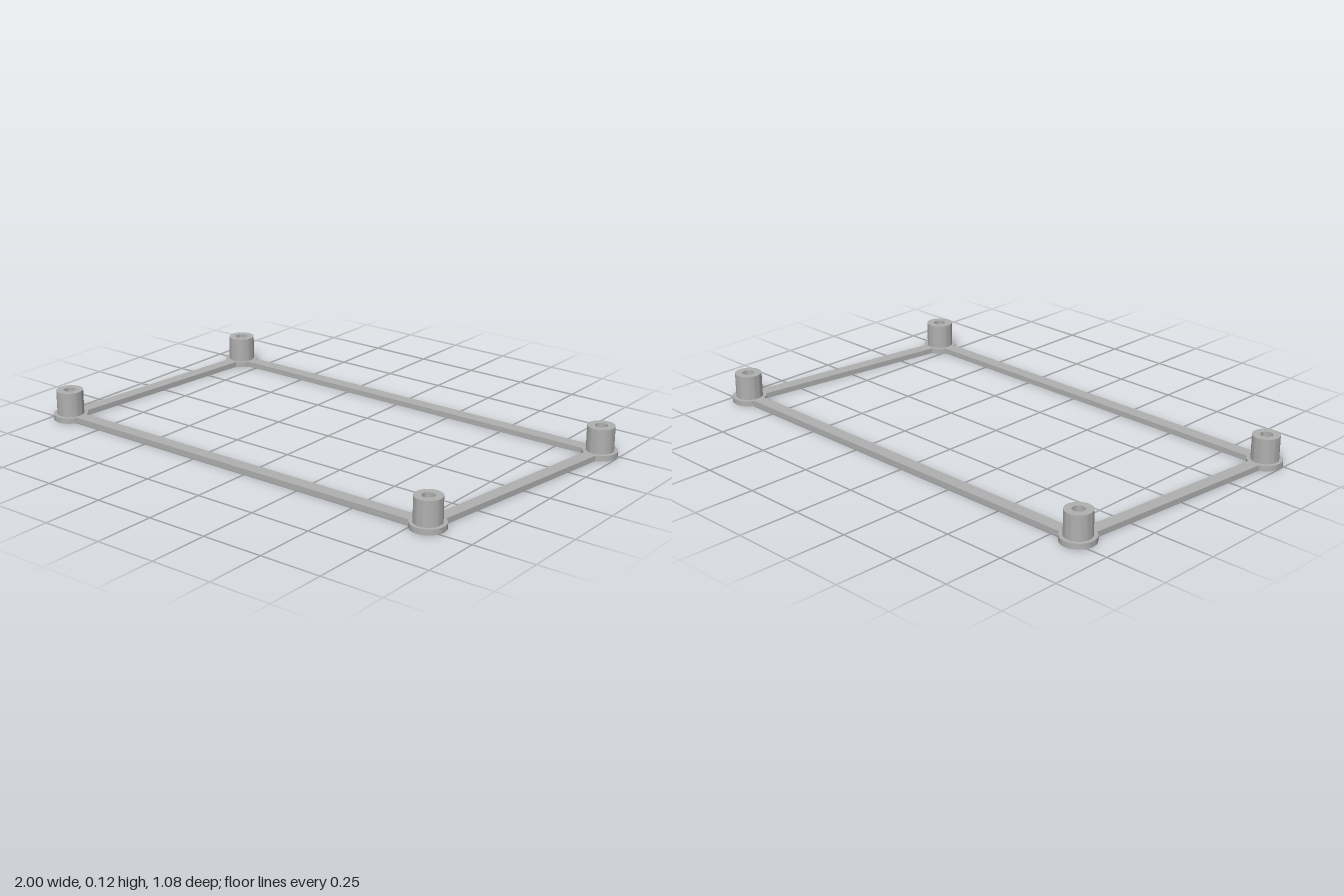
import * as THREE from 'three';
import { toCreasedNormals } from 'three/addons/utils/BufferGeometryUtils.js';

const BASE_H = 0.022, POST_H = 0.12;
const FLANGE_R = 0.068, POST_R = 0.053, HOLE_R = 0.024;
const BAR_W = 0.053, BAR_INSET = 0.06;

// Corner positions [x, z], in order around the frame
const CORNERS = [
  ['backRight', -0.85, -0.474],
  ['backLeft', 0.93, -0.474],
  ['frontLeft', 0.803, 0.474],
  ['frontRight', -0.932, 0.474],
];
const BARS = ['backBar', 'leftBar', 'frontBar', 'rightBar'];

export function createModel() {
  const model = new THREE.Group();
  model.name = 'standoffFrame';
  const grey = new THREE.MeshStandardMaterial({ color: 0xb0b0b0 });
  grey.name = 'grey';

  // Standoff: round foot, post and blind hole turned as one profile
  const profile = [
    [0, 0], [FLANGE_R, 0], [FLANGE_R, BASE_H], [POST_R, BASE_H],
    [POST_R, POST_H], [HOLE_R, POST_H], [HOLE_R, BASE_H], [0, BASE_H],
  ].map(([r, y]) => new THREE.Vector2(r, y));
  const standoff = toCreasedNormals(new THREE.LatheGeometry(profile, 48), 0.6);

  CORNERS.forEach(([name, x, z], i) => {
    const post = new THREE.Mesh(standoff, grey);
    post.name = name + 'Standoff';
    post.position.set(x, 0, z);
    model.add(post);

    // Flat bar to the next corner, its ends tucked inside the feet
    const [, nx, nz] = CORNERS[(i + 1) % CORNERS.length];
    const dx = nx - x, dz = nz - z;
    const length = Math.hypot(dx, dz) - 2 * BAR_INSET;
    const bar = new THREE.Mesh(new THREE.BoxGeometry(length, BASE_H, BAR_W), grey);
    bar.name = BARS[i];
    bar.position.set((x + nx) / 2, BASE_H / 2, (z + nz) / 2);
    bar.rotation.y = -Math.atan2(dz, dx);
    model.add(bar);
  });
  return model;
}
